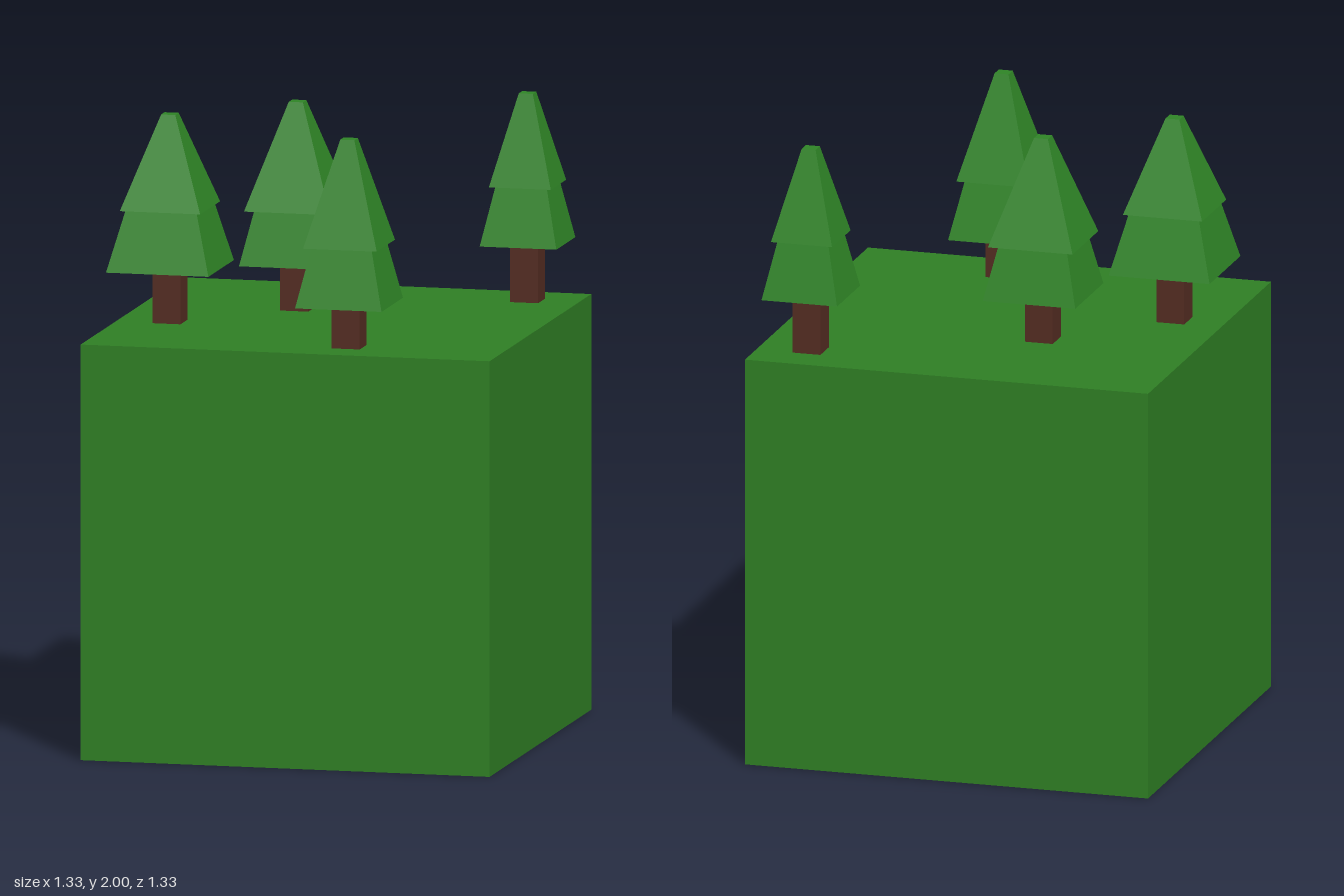
import * as THREE from 'three';

const material = (color) => new THREE.MeshStandardMaterial({ color, flatShading: true });

const GROUND = 4 / 3; // height and width of the block
const TOP = 2;

// Square frustum between two heights, given by half-widths
function frustum(name, bottom, top, y0, y1, mat) {
  const geometry = new THREE.CylinderGeometry(top * Math.SQRT2, bottom * Math.SQRT2, y1 - y0, 4);
  geometry.rotateY(Math.PI / 4);
  geometry.translate(0, (y0 + y1) / 2, 0);
  const mesh = new THREE.Mesh(geometry, mat);
  mesh.name = name;
  return mesh;
}

export function createModel() {
  const model = new THREE.Group();
  model.name = 'forestBlock';
  const grass = material(0x2f8024);
  const leaves = material(0x2f8526);
  const bark = material(0x552d22);

  // Ground cube
  const ground = new THREE.Mesh(new THREE.BoxGeometry(GROUND, GROUND, GROUND), grass);
  ground.name = 'groundBlock';
  ground.position.y = GROUND / 2;
  model.add(ground);

  // Trees: base height, tier split height, half-widths of the tiers
  const trees = [
    { x: -0.5, z: 0.167, base: 1.51, split: 1.703, skirt: 0.167, waist: 0.116, crown: 0.131 },
    { x: -0.167, z: -0.167, base: 1.488, split: 1.662, skirt: 0.153, waist: 0.113, crown: 0.14 },
    { x: 0.167, z: 0.5, base: 1.473, split: 1.662, skirt: 0.141, waist: 0.098, crown: 0.12 },
    { x: 0.5, z: -0.5, base: 1.521, split: 1.708, skirt: 0.125, waist: 0.084, crown: 0.101 },
  ];
  for (const t of trees) {
    const tree = new THREE.Group();
    tree.name = 'tree';
    tree.add(
      frustum('trunk', 0.046, 0.046, GROUND, t.base, bark),
      frustum('lowerFoliage', t.skirt, t.waist, t.base, t.split, leaves),
      frustum('upperFoliage', t.crown, 0.023, t.split, TOP, leaves),
    );
    tree.position.set(t.x, 0, t.z);
    model.add(tree);
  }
  return model;
}
